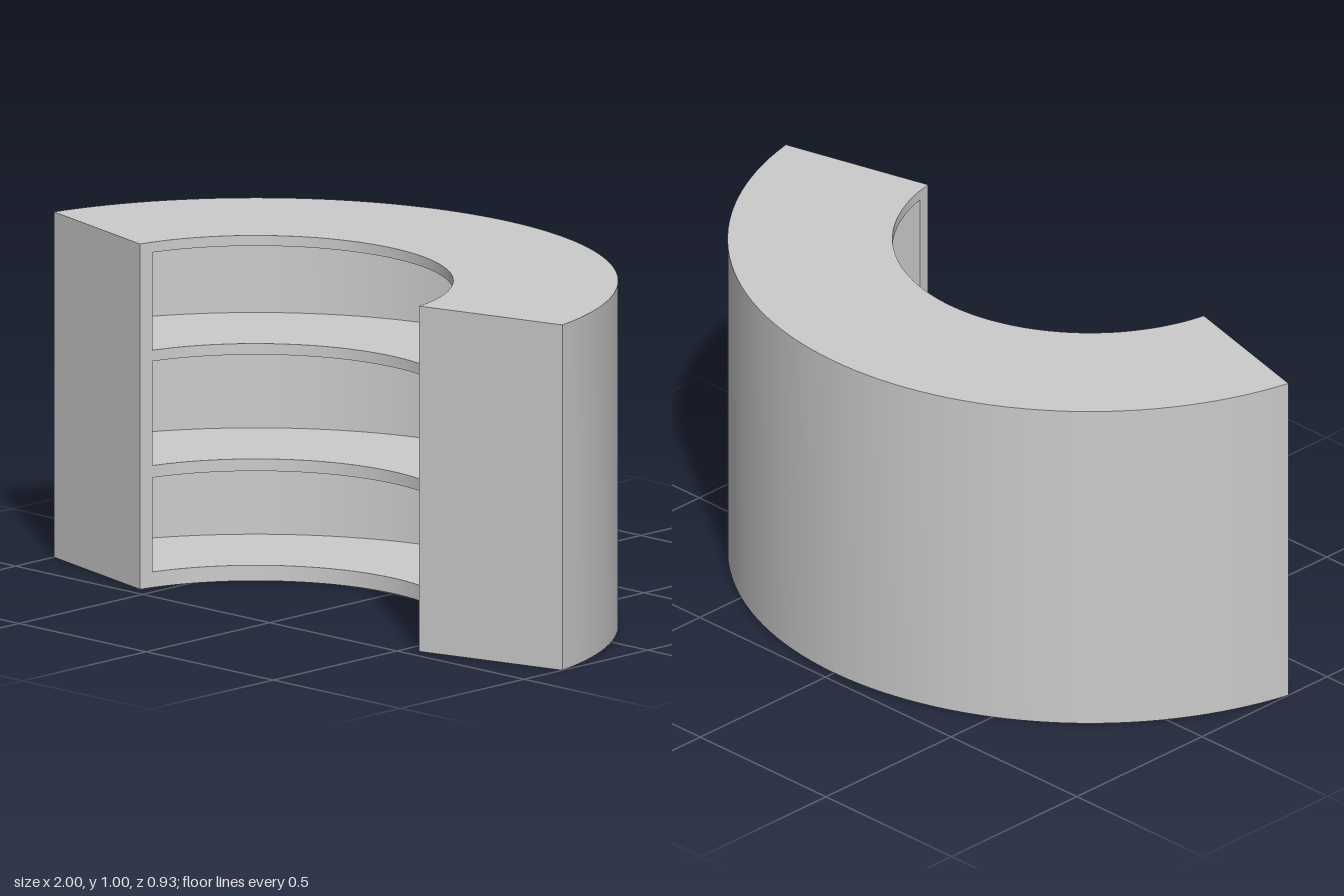
import * as THREE from 'three';
import { toCreasedNormals } from 'three/addons/utils/BufferGeometryUtils.js';

const CENTRE_Z = 0.557;            // centre of all arcs
const R_OUT = 1.022, R_BACK = 0.94, R_IN = 0.557;
const CUT = THREE.MathUtils.degToRad(14.3);   // slope of the two end faces
const END_FACE = -0.042, END_INSIDE = 0;      // offsets of the end wall's two sides
const SEGMENTS = 64;

// Points of an arc, right to left, trimmed by a sloped end line at the given offset
function arc(radius, offset) {
  const start = CUT + Math.asin(offset / radius);
  const points = [];
  for (let i = 0; i <= SEGMENTS; i++) {
    const a = start + (Math.PI - 2 * start) * i / SEGMENTS;
    points.push(new THREE.Vector2(radius * Math.cos(a), radius * Math.sin(a) - CENTRE_Z));
  }
  return points;
}

// Upright slab from a plan outline
function slab(name, outline, bottom, top, material) {
  const extruded = new THREE.ExtrudeGeometry(new THREE.Shape(outline), {
    depth: top - bottom, bevelEnabled: false,
  });
  extruded.rotateX(-Math.PI / 2);
  extruded.translate(0, bottom, 0);
  const mesh = new THREE.Mesh(toCreasedNormals(extruded, Math.PI / 6), material);
  mesh.name = name;
  return mesh;
}

export function createModel() {
  const group = new THREE.Group();
  group.name = 'curvedShelfUnit';
  const material = new THREE.MeshStandardMaterial({ color: 0xcccccc });

  // Curved back wall with its two end panels, as one C-shaped outline
  const lip = arc(R_IN, END_FACE);
  const lipInside = arc(R_IN, END_INSIDE);
  const shell = [
    ...arc(R_OUT, END_FACE),
    lip[SEGMENTS], lipInside[SEGMENTS],
    ...arc(R_BACK, END_INSIDE).reverse(),
    lipInside[0], lip[0],
  ];
  group.add(slab('backAndEndPanels', shell, 0, 1, material));

  // Bottom, two shelves and top, fitted inside the shell
  const board = [...arc(R_BACK, END_INSIDE), ...arc(R_IN, END_INSIDE).reverse()];
  const boards = [
    ['bottomBoard', 0, 0.045],
    ['lowerShelf', 0.318, 0.353],
    ['upperShelf', 0.655, 0.687],
    ['topBoard', 0.97, 1],
  ];
  for (const [name, bottom, top] of boards) group.add(slab(name, board, bottom, top, material));

  return group;
}
